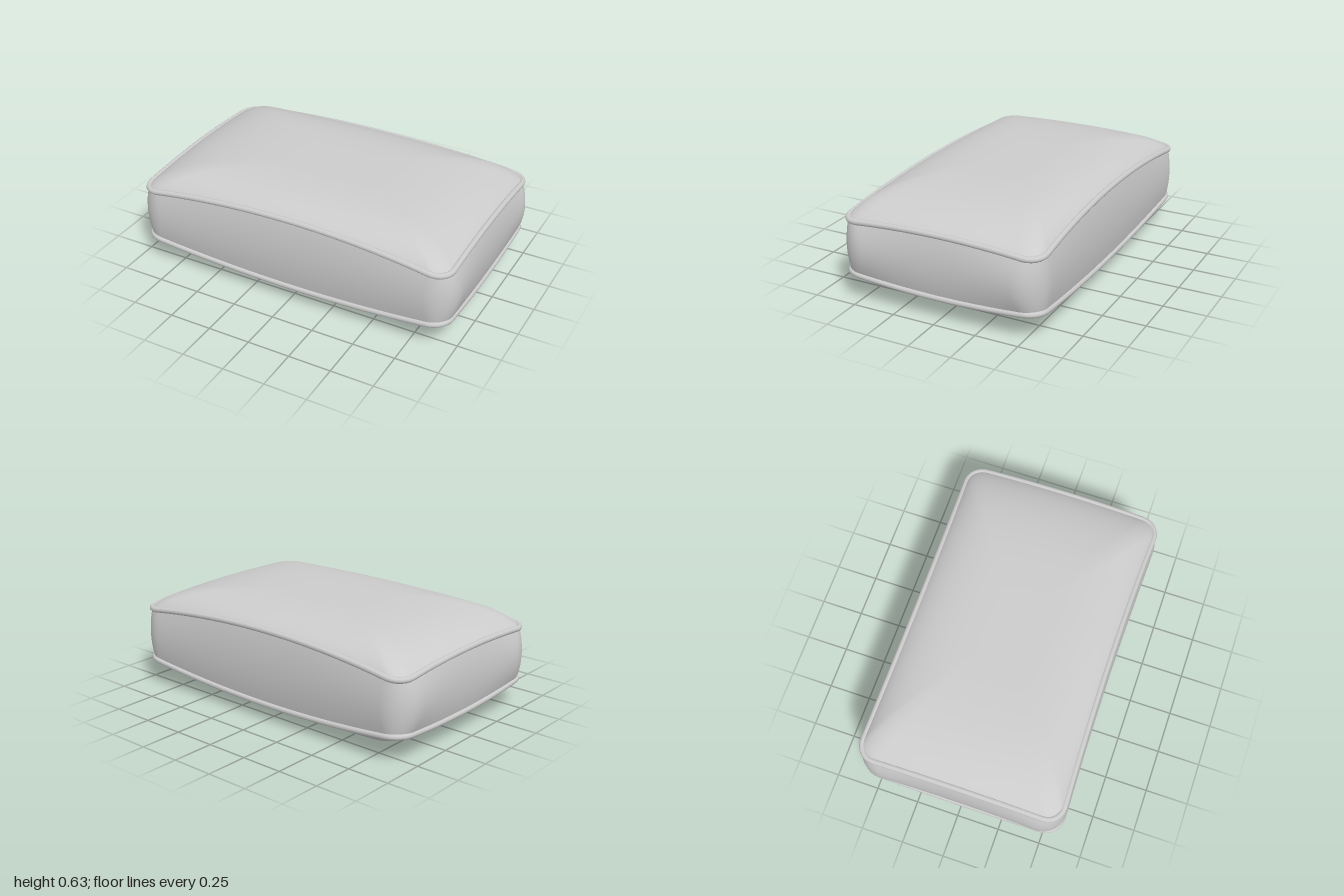
import * as THREE from 'three';

const MID = 0.315;   // half height of the cushion
const CORNER = 10, SIDE = 24;

// Rounded rectangle whose sides are pinched inwards by px / pz at their middles
function outline(A, B, r, px, pz) {
  const pts = [];
  const corners = [[1, 1], [-1, 1], [-1, -1], [1, -1]];
  const raw = [];
  corners.forEach(([sx, sz], c) => {
    for (let i = 0; i <= CORNER; i++) {
      const a = (c + i / CORNER) * Math.PI / 2;
      raw.push([sx * (A - r) + r * Math.cos(a), sz * (B - r) + r * Math.sin(a)]);
    }
  });
  raw.forEach((p, i) => {
    pts.push(p);
    if (i % (CORNER + 1) === CORNER) {
      const q = raw[(i + 1) % raw.length];
      for (let k = 1; k < SIDE; k++) {
        const t = k / SIDE;
        pts.push([p[0] + (q[0] - p[0]) * t, p[1] + (q[1] - p[1]) * t]);
      }
    }
  });
  return pts.map(([x, z]) => {
    const u = x / A, v = z / B;
    return [x - u * px * (1 - v * v), z - v * pz * (1 - u * u)];
  });
}

const SEAM_A = 0.95, SEAM_B = 0.592;
const seam = outline(SEAM_A, SEAM_B, 0.1, 0, 0.022);
const girth = outline(1, 0.615, 0.17, 0.025, 0.023);

// Seam height above the middle: lowest at corners, arching along each side
const rise = seam.map(([x, z]) =>
  0.147 + 0.068 * (1 - (x / SEAM_A) ** 2) + 0.033 * (1 - (z / SEAM_B) ** 2));

// Closed rings, ordered from bottom to top (or edge to centre), skinned smoothly
function loft(rings) {
  const n = rings[0].length, pos = [], idx = [];
  rings.forEach(ring => ring.forEach(p => pos.push(...p)));
  for (let i = 0; i < rings.length - 1; i++) {
    for (let j = 0; j < n; j++) {
      const k = (j + 1) % n;
      const a = i * n + j, b = i * n + k, c = a + n, d = b + n;
      idx.push(a, c, b, b, c, d);
    }
  }
  const g = new THREE.BufferGeometry();
  g.setAttribute('position', new THREE.Float32BufferAttribute(pos, 3));
  g.setIndex(idx);
  g.computeVertexNormals();
  return g;
}

// Puffed panel from the seam to its crown; side is +1 for top, -1 for bottom
function panel(side) {
  const rings = [], N = 28;
  for (let i = 0; i <= N; i++) {
    const s = Math.max(1 - (i / N) ** 1.5, 0.001);
    const f = (1 - s ** 4) ** 0.8;
    rings.push(seam.map(([x, z], j) =>
      [x * s, MID + side * (rise[j] + (MID - rise[j]) * f), z * s]));
  }
  return loft(side > 0 ? rings : rings.reverse());
}

// Bulging band between the two seams
function band() {
  const rings = [], N = 20;
  for (let i = 0; i <= N; i++) {
    const q = -1 + 2 * i / N, w = 1 - q * q;
    rings.push(seam.map(([x, z], j) => [
      x + (girth[j][0] - x) * w,
      MID + q * rise[j],
      z + (girth[j][1] - z) * w,
    ]));
  }
  return loft(rings);
}

// Round cord that follows a seam
function piping(side) {
  const path = new THREE.CatmullRomCurve3(
    seam.map(([x, z], j) => new THREE.Vector3(x, MID + side * rise[j], z)), true);
  return new THREE.TubeGeometry(path, 260, 0.017, 10, true);
}

export function createModel() {
  const group = new THREE.Group();
  group.name = 'cushion';
  const material = new THREE.MeshStandardMaterial({ color: 0xcccccc });
  const add = (name, geometry) => {
    const mesh = new THREE.Mesh(geometry, material);
    mesh.name = name;
    group.add(mesh);
  };
  add('sideBand', band());
  add('topPanel', panel(1));
  add('bottomPanel', panel(-1));
  add('topPiping', piping(1));
  add('bottomPiping', piping(-1));
  return group;
}
